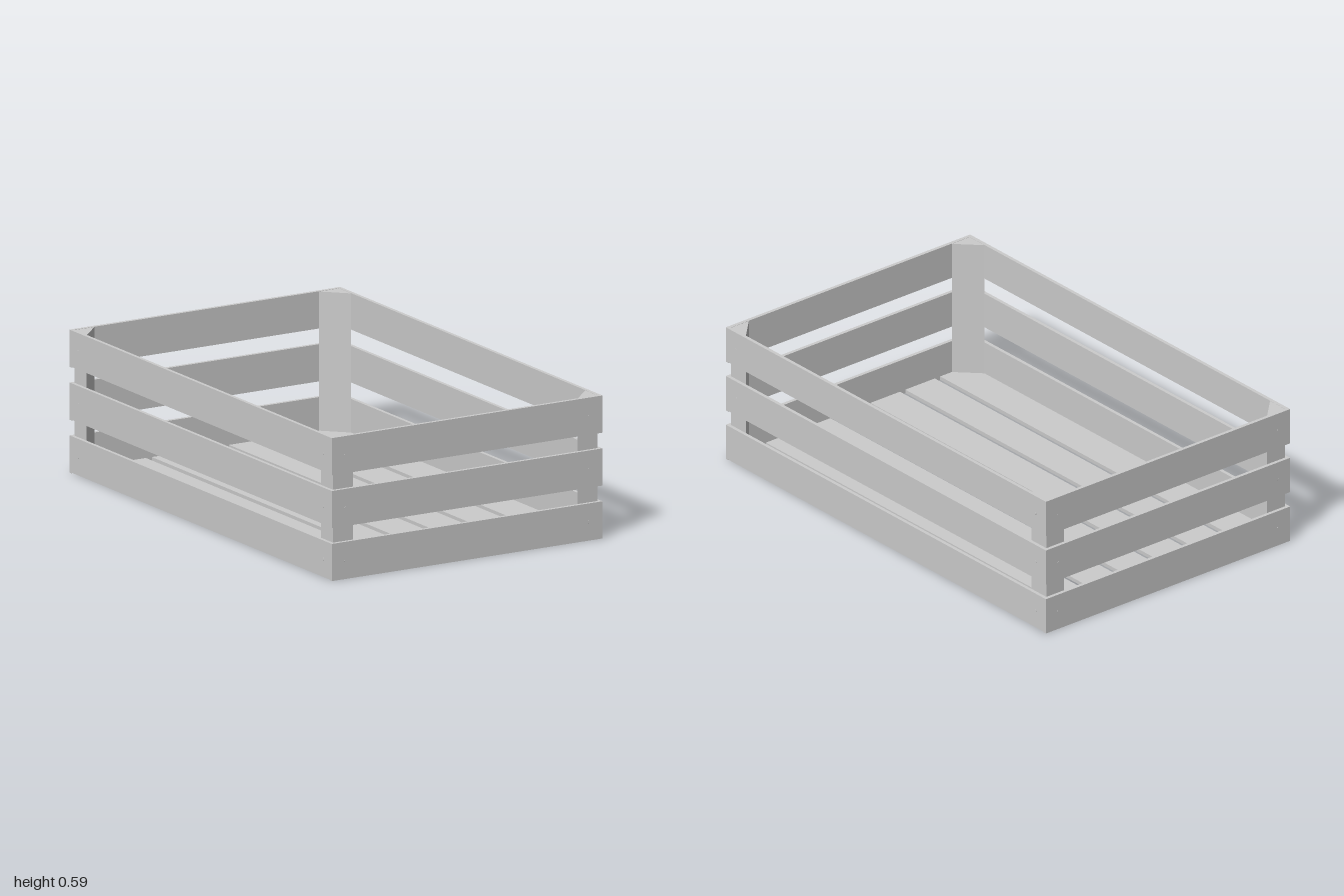
import * as THREE from 'three';

const W = 0.637, L = 1.0, T = 0.015, H = 0.592; // half width, half length, board thickness, height

export function createModel() {
  const crate = new THREE.Group();
  crate.name = 'slattedCrate';
  const material = new THREE.MeshStandardMaterial({ color: 0xcccccc });

  const add = (name, geometry, x, y, z) => {
    const mesh = new THREE.Mesh(geometry, material);
    mesh.name = name;
    mesh.position.set(x, y, z);
    crate.add(mesh);
    return mesh;
  };

  // Floor slats running front to back
  const slat = new THREE.BoxGeometry(0.154, T, 2 * (L - T));
  for (let i = -3; i <= 3; i++) add('floorSlat', slat, i * 0.1817, T / 2, 0);

  // Three rows of wall boards, with a nail near each end
  const boardH = 0.154;
  const endBoard = new THREE.BoxGeometry(2 * W, boardH, T);
  const sideBoard = new THREE.BoxGeometry(T, boardH - 0.003, 2 * (L - T));
  const nail = new THREE.CylinderGeometry(0.006, 0.006, 0.002, 10);
  for (let row = 0; row < 3; row++) {
    const y = boardH / 2 + row * (H - boardH) / 2;
    for (const s of [-1, 1]) {
      add(s > 0 ? 'frontBoard' : 'backBoard', endBoard, 0, y, s * (L - T / 2));
      add(s > 0 ? 'leftBoard' : 'rightBoard', sideBoard, s * (W - T / 2), y + 0.0015, 0);
      for (const e of [-1, 1]) {
        add('endNail', nail, e * 0.573, y, s * L).rotation.x = Math.PI / 2;
        add('sideNail', nail, s * W, y, e * 0.935).rotation.z = Math.PI / 2;
      }
    }
  }

  // Triangular corner posts standing on the floor
  const leg = 0.093;
  for (const sx of [-1, 1]) {
    for (const sz of [-1, 1]) {
      const x = sx * (W - T), z = sz * (L - T);
      // Shape y becomes -z once the extrusion is stood upright
      const shape = new THREE.Shape([
        new THREE.Vector2(x, -z),
        new THREE.Vector2(x - sx * leg, -z),
        new THREE.Vector2(x, -z + sz * leg),
      ]);
      const post = new THREE.ExtrudeGeometry(shape, { depth: H - T - 0.001, bevelEnabled: false });
      post.rotateX(-Math.PI / 2);
      add('cornerPost', post, 0, T, 0);
    }
  }
  return crate;
}
